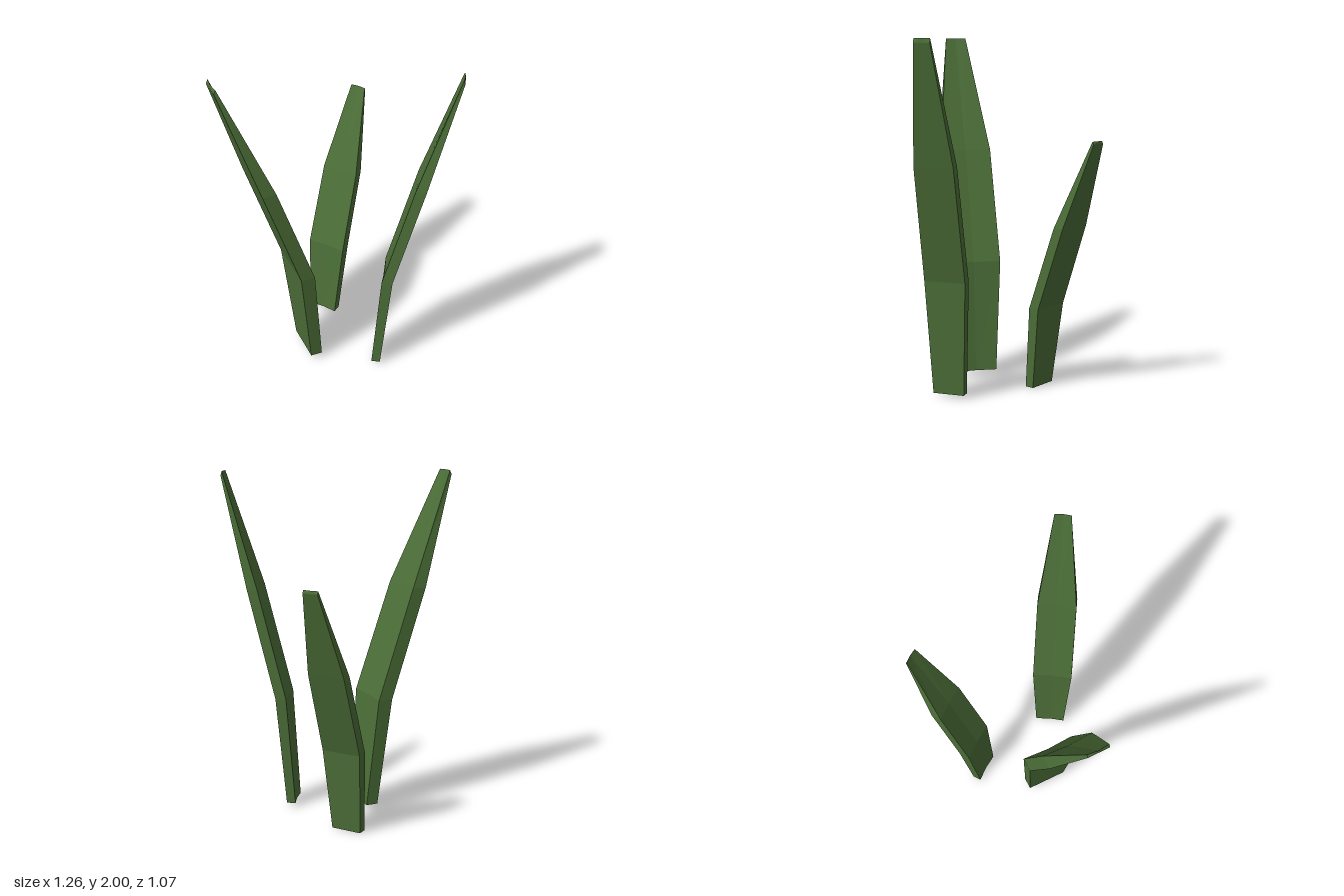
import * as THREE from 'three';

// Blade cross-sections: height fraction (inner, outer), lean (inner, outer), half width
const SECTIONS = [
  { yi: 0, yo: 0, inner: 0, outer: 0.07, half: 0.122 },
  { yi: 0.33, yo: 0.33, inner: 0.06, outer: 0.145, half: 0.16 },
  { yi: 0.66, yo: 0.66, inner: 0.28, outer: 0.362, half: 0.151 },
  { yi: 1, yo: 0.988, inner: 0.56, outer: 0.57, half: 0.061 },
];
const GROOVE = 0.009; // shallow crease down the middle of the inner face

function bladeGeometry(height, scale) {
  const positions = [];
  const index = [];
  const n = 5;
  for (const s of SECTIONS) {
    const ring = [
      [s.inner, s.yi, -s.half],
      [Math.min(s.inner + GROOVE, s.outer - 0.003), s.yi, 0],
      [s.inner, s.yi, s.half],
      [s.outer, s.yo, s.half],
      [s.outer, s.yo, -s.half],
    ];
    for (const [x, y, z] of ring) positions.push(x * scale, y * height, z * scale);
  }
  // Sides
  for (let i = 0; i < SECTIONS.length - 1; i++) {
    for (let j = 0; j < n; j++) {
      const a = i * n + j;
      const b = i * n + ((j + 1) % n);
      index.push(a, b, b + n, a, b + n, a + n);
    }
  }
  // End caps, fanned from the groove point
  const top = (SECTIONS.length - 1) * n;
  for (let k = 2; k < n; k++) {
    const next = (k + 1) % n;
    index.push(1, next, k);
    index.push(top + 1, top + k, top + next);
  }
  const geometry = new THREE.BufferGeometry();
  geometry.setAttribute('position', new THREE.Float32BufferAttribute(positions, 3));
  geometry.setIndex(index);
  geometry.computeVertexNormals();
  return geometry;
}

export function createModel() {
  const group = new THREE.Group();
  group.name = 'grassTuft';
  const material = new THREE.MeshStandardMaterial({ color: 0x4c6f38, flatShading: true });

  // Base point, horizontal lean direction, height and scale of each blade
  const blades = [
    { name: 'wideBlade', base: [-0.06, 0.04, 0.057], lean: [-1, 0], height: 1.96, scale: 1 },
    { name: 'frontBlade', base: [0.246, 0.02, 0.271], lean: [0.851, 0.526], height: 1.98, scale: 0.743 },
    { name: 'backBlade', base: [0.131, 0, -0.254], lean: [0.807, -0.59], height: 1.445, scale: 0.743 },
  ];
  for (const { name, base, lean, height, scale } of blades) {
    const blade = new THREE.Mesh(bladeGeometry(height, scale), material);
    blade.name = name;
    blade.position.set(...base);
    blade.rotation.y = Math.atan2(-lean[1], lean[0]);
    group.add(blade);
  }
  return group;
}
